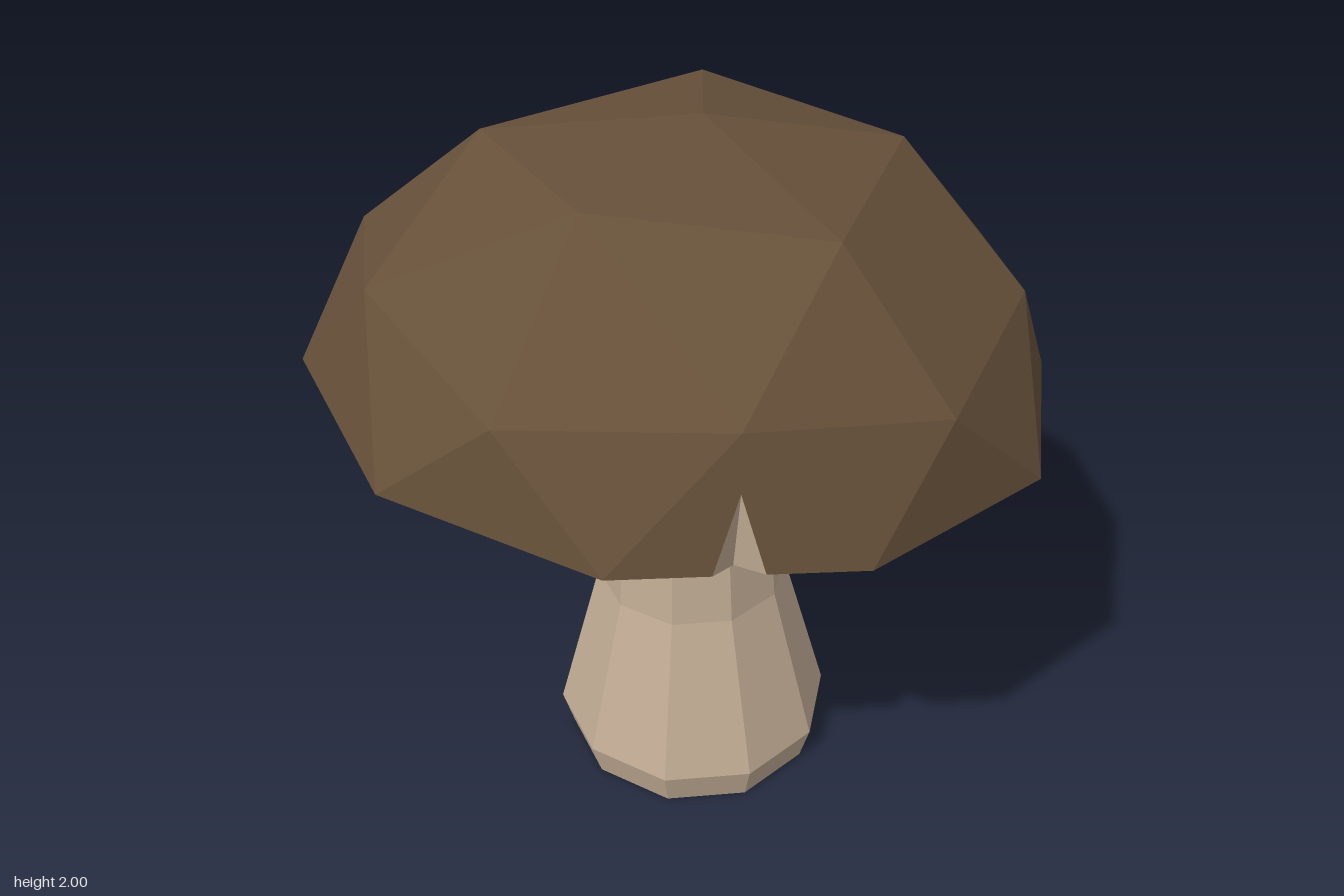
import * as THREE from 'three';

const TILT = -0.065;
const V = (x, y, z) => new THREE.Vector3(x, y, z);
const lerp = (a, b, t) => a.clone().lerp(b, t);

function facetMesh(name, tris, color, side = THREE.FrontSide) {
  const geo = new THREE.BufferGeometry().setFromPoints(tris.flat());
  geo.computeVertexNormals();
  const mesh = new THREE.Mesh(geo, new THREE.MeshStandardMaterial({ color, flatShading: true, side }));
  mesh.name = name;
  return mesh;
}

export function createModel() {
  const group = new THREE.Group();
  group.name = 'mushroom';
  const brown = 0x665039, tan = 0xc2ad95, grey = 0x8f837c;

  // Stem: ten-sided lathe with a wide foot, leaning slightly and flaring under the cap
  const profile = [[0, 0], [0.37, 0], [0.4, 0.11], [0.27, 0.6], [0.225, 1.19], [0.255, 1.37]];
  const stemGeo = new THREE.LatheGeometry(profile.map(([r, y]) => new THREE.Vector2(r, y)), 10);
  const pos = stemGeo.attributes.position;
  for (let i = 0; i < pos.count; i++) {
    const x = pos.getX(i), y = pos.getY(i);
    pos.setX(i, x + 0.043 - 0.013 * y);
    if (y > 1.3) pos.setY(i, y + TILT * x);
  }
  const stem = new THREE.Mesh(stemGeo, new THREE.MeshStandardMaterial({ color: tan, flatShading: true }));
  stem.name = 'stem';
  group.add(stem);

  // Cap rings, each running from +x towards +z
  const apex = V(0.05, 2, 0.02);
  const crown = [[0.55, 1.89, 0.12], [0.13, 1.91, 0.57], [-0.37, 1.95, 0.28], [-0.43, 1.95, -0.22], [0.25, 1.91, -0.42]]
    .map((p) => V(...p));
  const shoulder = [[0.88, 1.51, 0.02], [0.69, 1.62, 0.5], [0.29, 1.57, 0.84], [-0.22, 1.66, 0.81], [-0.68, 1.62, 0.53],
    [-0.8, 1.71, 0], [-0.68, 1.64, -0.49], [-0.25, 1.68, -0.74], [0.28, 1.57, -0.81], [0.68, 1.62, -0.45]]
    .map((p) => V(...p));
  const rim = [[0.92, 0.32], [0.6, 0.78], [0.04, 0.95], [-0.53, 0.78], [-0.9, 0.32],
    [-0.92, -0.31], [-0.57, -0.77], [0, -0.95], [0.57, -0.78], [0.92, -0.31]]
    .map(([x, z]) => V(x, 1.31 + TILT * x, z));
  const lip = rim.map((p) => V(p.x * 0.83, 1.245 + TILT * p.x * 0.83, p.z * 0.83));
  const collar = rim.map((p) => V(0.03 + p.x * 0.25, 1.36 + TILT * p.x * 0.25, p.z * 0.25));

  // Splits in the rim: start and end along the edge, and height towards the shoulder
  const splits = { 3: [0.4, 0.6, 0.58], 7: [0.53, 0.69, 0.55], 9: [0.57, 0.7, 0.42] };
  const cap = [], cuts = [], gills = [];

  for (let j = 0; j < 5; j++) {
    const r = crown[j], next = crown[(j + 1) % 5];
    const u = shoulder[2 * j], left = shoulder[2 * j + 1], right = shoulder[(2 * j + 9) % 10];
    cap.push([apex, next, r], [r, next, left], [r, left, u], [r, u, right]);
  }
  for (let k = 0; k < 10; k++) {
    const h = (k + 9) % 10;
    const T = shoulder[k], A = rim[h], B = rim[k], a = lip[h], b = lip[k];
    cap.push([T, shoulder[(k + 1) % 10], B]);
    gills.push([a, b, collar[k]], [a, collar[k], collar[h]]);
    if (!splits[k]) {
      cap.push([T, B, A], [A, B, b], [A, b, a]);
      continue;
    }
    const [s, e, f] = splits[k], m = (s + e) / 2;
    const P = lerp(A, B, s), Q = lerp(A, B, e);
    const N = lerp(lerp(A, B, m), T, f);
    const I = lerp(lerp(A, B, m), lerp(a, b, m), 0.5);
    cap.push([A, T, N], [A, N, P], [T, B, N], [N, B, Q]);
    cap.push([A, P, a], [P, I, a], [I, b, a], [I, Q, b], [Q, B, b]);
    cuts.push([N, I, P], [N, Q, I]);
  }

  group.add(facetMesh('cap', cap, brown));
  group.add(facetMesh('capSplits', cuts, tan, THREE.DoubleSide));
  group.add(facetMesh('gills', gills, grey, THREE.DoubleSide));
  return group;
}
